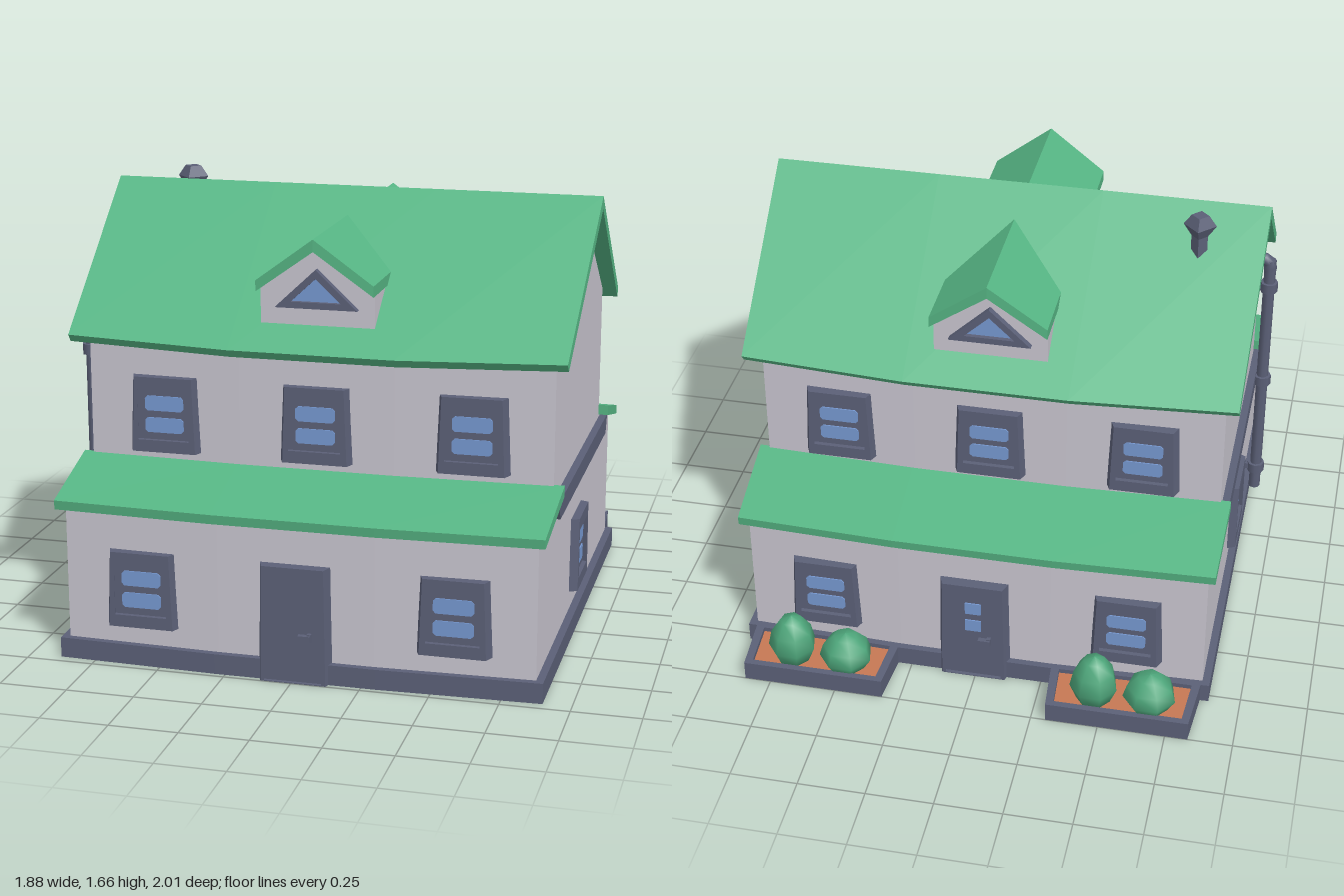
import * as THREE from 'three';

const mat = (name, color, side = THREE.FrontSide) => {
  const m = new THREE.MeshStandardMaterial({ color, side });
  m.name = name;
  return m;
};

export function createModel() {
  const wall = mat('wall grey', 0xc8c5cf);
  const roof = mat('roof green', 0x56b584);
  const trim = mat('slate trim', 0x5b6077);
  const glass = mat('glass blue', 0x7698d0);
  const soil = mat('soil', 0xc67854);
  const leaf = mat('leaf green', 0x4da57a);

  const house = new THREE.Group();
  house.name = 'house';
  house.position.set(0.007, 0, 0.09);

  const add = (parent, name, geo, material, x = 0, y = 0, z = 0) => {
    const m = new THREE.Mesh(geo, material);
    m.name = name;
    m.position.set(x, y, z);
    parent.add(m);
    return m;
  };
  const box = (parent, name, w, h, d, material, x, y, z) =>
    add(parent, name, new THREE.BoxGeometry(w, h, d), material, x, y, z);
  const vec = (pts) => pts.map(([x, y]) => new THREE.Vector2(x, y));
  const extrude = (pts, depth, hole, steps = 1) => {
    const s = new THREE.Shape(vec(pts));
    if (hole) s.holes.push(new THREE.Path(vec(hole)));
    return new THREE.ExtrudeGeometry(s, { depth, steps, bevelEnabled: false });
  };
  const reshape = (geo, rule) => {
    const p = geo.attributes.position, v = new THREE.Vector3();
    for (let i = 0; i < p.count; i++) {
      rule(v.fromBufferAttribute(p, i));
      p.setXYZ(i, v.x, v.y, v.z);
    }
    geo.computeVertexNormals();
    return geo;
  };

  // A (z, y) section run along x, with ends drawn in so that the fronts bow outward
  const prism = (pts, half, bow, taper = 0, pivotY = null) => {
    const g = extrude(pts.map(([z, y]) => [-z, y]), half * 2, null, 3);
    g.translate(0, 0, -half);
    g.rotateY(Math.PI / 2);
    return reshape(g, (v) => {
      const k = Math.abs(v.x) > half * 0.9 ? bow : 1;
      v.x *= 1 - taper * Math.abs(v.z);
      v.z *= k;
      if (pivotY !== null) v.y = pivotY + (v.y - pivotY) * k;
    });
  };

  // Main body
  add(house, 'foundation', prism([[-0.89, 0], [0.89, 0], [0.89, 0.075], [-0.89, 0.075]], 0.89, 0.978), trim);
  add(house, 'lowerWalls', prism([[-0.865, 0.04], [0.865, 0.04], [0.865, 0.595], [0.565, 0.67],
    [-0.565, 0.67], [-0.865, 0.595]], 0.862, 0.978), wall);
  add(house, 'upperWalls', prism([[-0.572, 0.6], [0.572, 0.6], [0.572, 1.18], [0, 1.6], [-0.572, 1.18]],
    0.862, 0.97), wall);
  add(house, 'mainRoof', prism([[-0.66, 1.14], [0, 1.635], [0.66, 1.14], [0.635, 1.11], [0, 1.585], [-0.635, 1.11]],
    0.932, 0.968, 0.03, 1.635), roof);

  // Tapered ledges on the side walls
  for (const s of [-1, 1]) {
    const ledge = extrude([[-0.565, 0.575], [0.565, 0.575], [0.6, 0.645], [-0.6, 0.645]], 0.05);
    ledge.rotateY(Math.PI / 2);
    add(house, 'sideLedge', ledge, trim, s * 0.865 - 0.025);
  }

  // Dormers run right through the main roof
  const dormerWall = extrude([[-0.21, 1.2], [0.21, 1.2], [0.21, 1.36], [0, 1.515], [-0.21, 1.36]], 1.1);
  add(house, 'dormerWalls', dormerWall, wall, 0, 0, -0.55);
  const dormerRoof = extrude([[-0.216, 1.345], [0, 1.5], [0.216, 1.345], [0.216, 1.385], [0, 1.545], [-0.216, 1.385]], 1.22);
  dormerRoof.translate(0, 0, -0.61);
  add(house, 'dormerRoof', reshape(dormerRoof, (v) => { v.z *= 1 - 0.12 * Math.abs(v.x); }), roof);

  // Flared frame, wide at the wall and narrow at the front
  const frame = (w, top, h, hole, depth) => {
    const g = extrude([[-w / 2, 0], [w / 2, 0], [top / 2, h], [-top / 2, h]], depth + 0.02, hole);
    g.translate(0, 0, -0.02);
    return reshape(g, (v) => { if (v.z > 0) v.x *= 0.84; });
  };
  const windowFrame = frame(0.285, 0.26, 0.282, [[-0.115, 0.045], [0.115, 0.045], [0.115, 0.235], [-0.115, 0.235]], 0.033);
  const pane = extrude([[-0.073, -0.018], [-0.063, -0.028], [0.063, -0.028], [0.073, -0.018],
    [0.073, 0.018], [0.063, 0.028], [-0.063, 0.028], [-0.073, 0.018]], 0.008);

  const makeWindow = (parent, x, y, z, turn = 0) => {
    const g = new THREE.Group();
    g.name = 'window';
    g.position.set(x, y, z);
    g.rotation.y = turn;
    add(g, 'windowFrame', windowFrame, trim);
    box(g, 'windowSash', 0.21, 0.2, 0.035, trim, 0, 0.14, -0.001);
    for (const py of [0.1, 0.182]) add(g, 'windowPane', pane, glass, 0, py, 0.013);
    parent.add(g);
  };

  const makeDoor = (parent, withPanes) => {
    const g = new THREE.Group();
    g.name = 'door';
    g.position.z = 0.865;
    add(g, 'doorFrame', frame(0.285, 0.27, 0.432, [[-0.125, 0.003], [0.125, 0.003], [0.125, 0.4], [-0.125, 0.4]], 0.043), trim);
    box(g, 'doorPanel', 0.222, 0.405, 0.05, trim, 0, 0.204, 0.005);
    box(g, 'doorHandle', 0.045, 0.02, 0.02, trim, 0.043, 0.175, 0.042);
    box(g, 'doorHandleStem', 0.015, 0.03, 0.02, trim, 0.06, 0.175, 0.035);
    if (withPanes) for (const y of [0.32, 0.24]) box(g, 'doorPane', 0.06, 0.05, 0.008, glass, 0, y, 0.031);
    parent.add(g);
  };

  // Front and back share the same layout
  for (const back of [false, true]) {
    const face = new THREE.Group();
    face.name = back ? 'backFace' : 'frontFace';
    face.rotation.y = back ? Math.PI : 0;
    house.add(face);
    add(face, 'porchRoof', prism([[0.56, 0.695], [0.91, 0.605], [0.905, 0.57], [0.56, 0.655]], 0.915, 0.976, 0.03), roof);
    for (const x of [-0.572, 0, 0.572]) makeWindow(face, x, 0.722, x ? 0.565 : 0.572);
    for (const x of [-0.572, 0.572]) makeWindow(face, x, 0.147, x ? 0.856 : 0.865);
    makeDoor(face, back);
    add(face, 'dormerWindowFrame', extrude([[-0.152, 1.287], [0.152, 1.287], [0, 1.43]], 0.045,
      [[-0.093, 1.31], [0.093, 1.31], [0, 1.397]]), trim, 0, 0, 0.53);
    add(face, 'dormerWindowPane', extrude([[-0.1, 1.305], [0.1, 1.305], [0, 1.402]], 0.008), glass, 0, 0, 0.55);
  }
  for (const s of [-1, 1]) makeWindow(house, s * 0.86, 0.147, 0, s * Math.PI / 2);

  // Planters with bushes behind the house
  const bush = (parent, x, r, h) => {
    const profile = vec([[0, 0], [0.7, 0], [1, 0.33], [0.85, 0.65], [0.45, 0.92], [0, 1]].map(([a, b]) => [a * r, b * h]));
    add(parent, 'bush', new THREE.LatheGeometry(profile, 7), leaf, x, 0.055, -0.995);
  };
  for (const s of [-1, 1]) {
    const planter = new THREE.Group();
    planter.name = 'planter';
    planter.position.x = s * 0.576;
    house.add(planter);
    const rim = extrude([[-0.282, 0.87], [0.282, 0.87], [0.265, 1.09], [-0.265, 1.09]], 0.075,
      [[-0.25, 0.88], [0.25, 0.88], [0.238, 1.065], [-0.238, 1.065]]);
    rim.rotateX(-Math.PI / 2);
    add(planter, 'planterRim', rim, trim);
    box(planter, 'planterFloor', 0.52, 0.02, 0.2, trim, 0, 0.011, -0.975);
    box(planter, 'planterSoil', 0.51, 0.035, 0.2, soil, 0, 0.04, -0.975);
    bush(planter, -0.108, 0.1, 0.15);
    bush(planter, 0.1, 0.09, 0.2);
  }

  // Roof vent with faceted cap
  const vent = new THREE.LatheGeometry(vec([[0.03, 1.45], [0.03, 1.575], [0.06, 1.62], [0.032, 1.66], [0, 1.66]]), 4).toNonIndexed();
  vent.computeVertexNormals();
  add(house, 'roofVent', vent, trim, -0.69, 0, -0.155);

  // Drainpipe on the right-hand wall
  const drain = new THREE.Group();
  drain.name = 'drainpipe';
  drain.position.set(-0.915, 0, 0.405);
  house.add(drain);
  add(drain, 'pipe', new THREE.CylinderGeometry(0.023, 0.023, 1.095, 8), trim, 0, 0.6225, 0);
  add(drain, 'pipeElbow', new THREE.TubeGeometry(new THREE.CatmullRomCurve3([
    new THREE.Vector3(0, 1.12, 0), new THREE.Vector3(0.005, 1.165, 0), new THREE.Vector3(0.08, 1.175, 0)]), 6, 0.025, 8), trim);
  for (const y of [0.175, 0.61, 1.05]) {
    add(drain, 'pipeCollar', new THREE.CylinderGeometry(0.035, 0.035, 0.04, 8), trim, 0, y, 0);
    box(drain, 'pipeBracket', 0.06, 0.025, 0.025, trim, 0.035, y, 0);
  }

  const model = new THREE.Group();
  model.name = 'model';
  model.add(house);
  return model;
}
